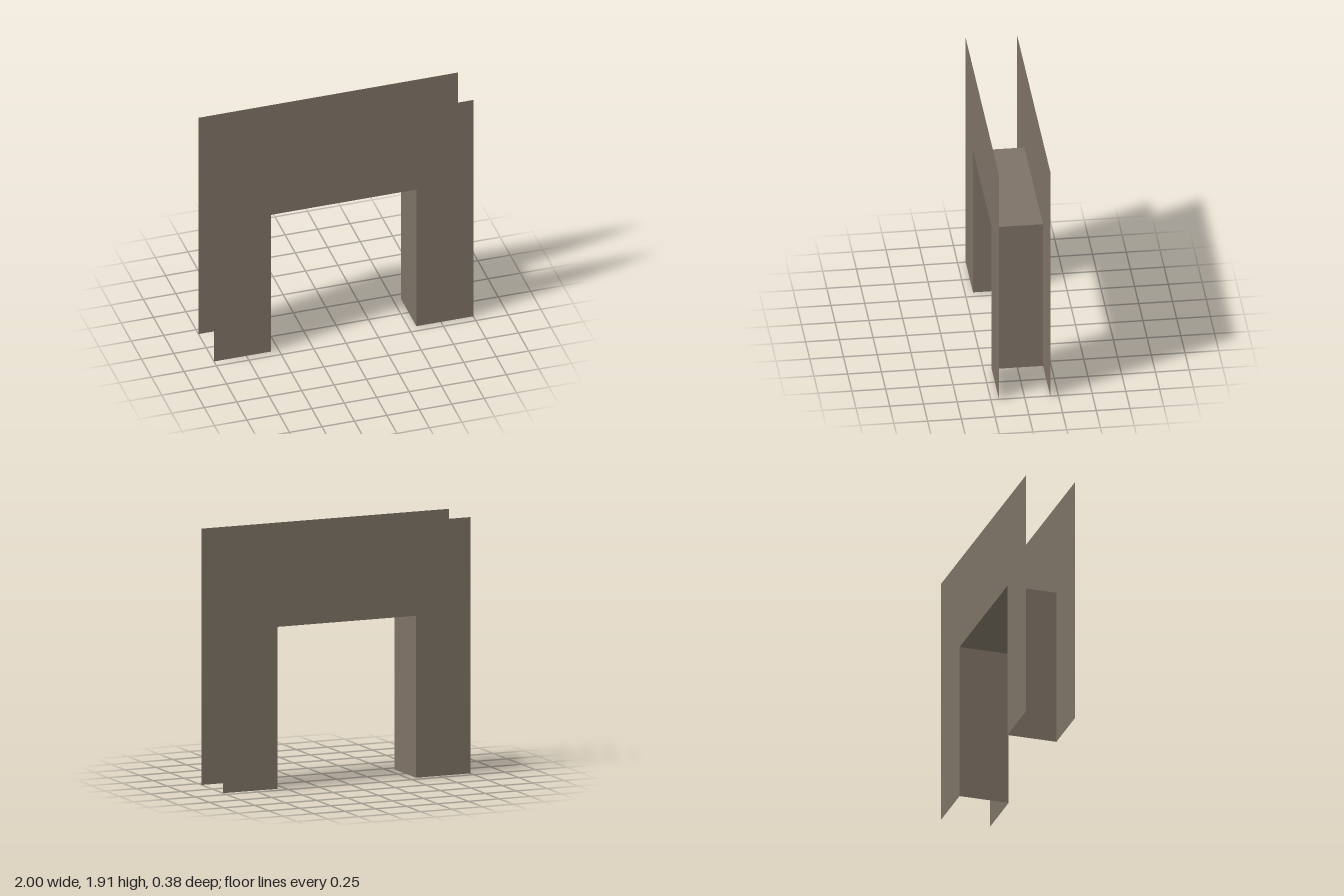
import * as THREE from 'three';

const HALF_W = 1, HEIGHT = 1.915, HALF_D = 0.19; // overall wall size
const OPEN_X = 0.56, OPEN_Y = 1.21;              // doorway opening

export function createModel() {
  const group = new THREE.Group();
  const stone = new THREE.MeshStandardMaterial({ color: 0x7d7265, side: THREE.DoubleSide });
  stone.name = 'stone';

  const add = (name, geometry, position, rotation = [0, 0, 0]) => {
    const mesh = new THREE.Mesh(geometry, stone);
    mesh.name = name;
    mesh.position.set(...position);
    mesh.rotation.set(...rotation);
    group.add(mesh);
  };

  // Wall sheet with the doorway cut out of its lower edge
  const outline = new THREE.Shape([
    [-HALF_W, 0], [-OPEN_X, 0], [-OPEN_X, OPEN_Y], [OPEN_X, OPEN_Y],
    [OPEN_X, 0], [HALF_W, 0], [HALF_W, HEIGHT], [-HALF_W, HEIGHT],
  ].map(([x, y]) => new THREE.Vector2(x, y)));
  const sheet = new THREE.ShapeGeometry(outline);
  add('frontWall', sheet, [0, 0, HALF_D]);
  add('backWall', sheet, [0, 0, -HALF_D], [0, Math.PI, 0]);

  // Inner faces of the doorway; the outer edges of the wall stay open
  const jamb = new THREE.PlaneGeometry(2 * HALF_D, OPEN_Y);
  for (const [name, side] of [['leftJamb', 1], ['rightJamb', -1]]) {
    add(name, jamb, [side * OPEN_X, OPEN_Y / 2, 0], [0, -side * Math.PI / 2, 0]);
  }
  add('lintelUnderside', new THREE.PlaneGeometry(2 * OPEN_X, 2 * HALF_D),
    [0, OPEN_Y, 0], [Math.PI / 2, 0, 0]);

  return group;
}
